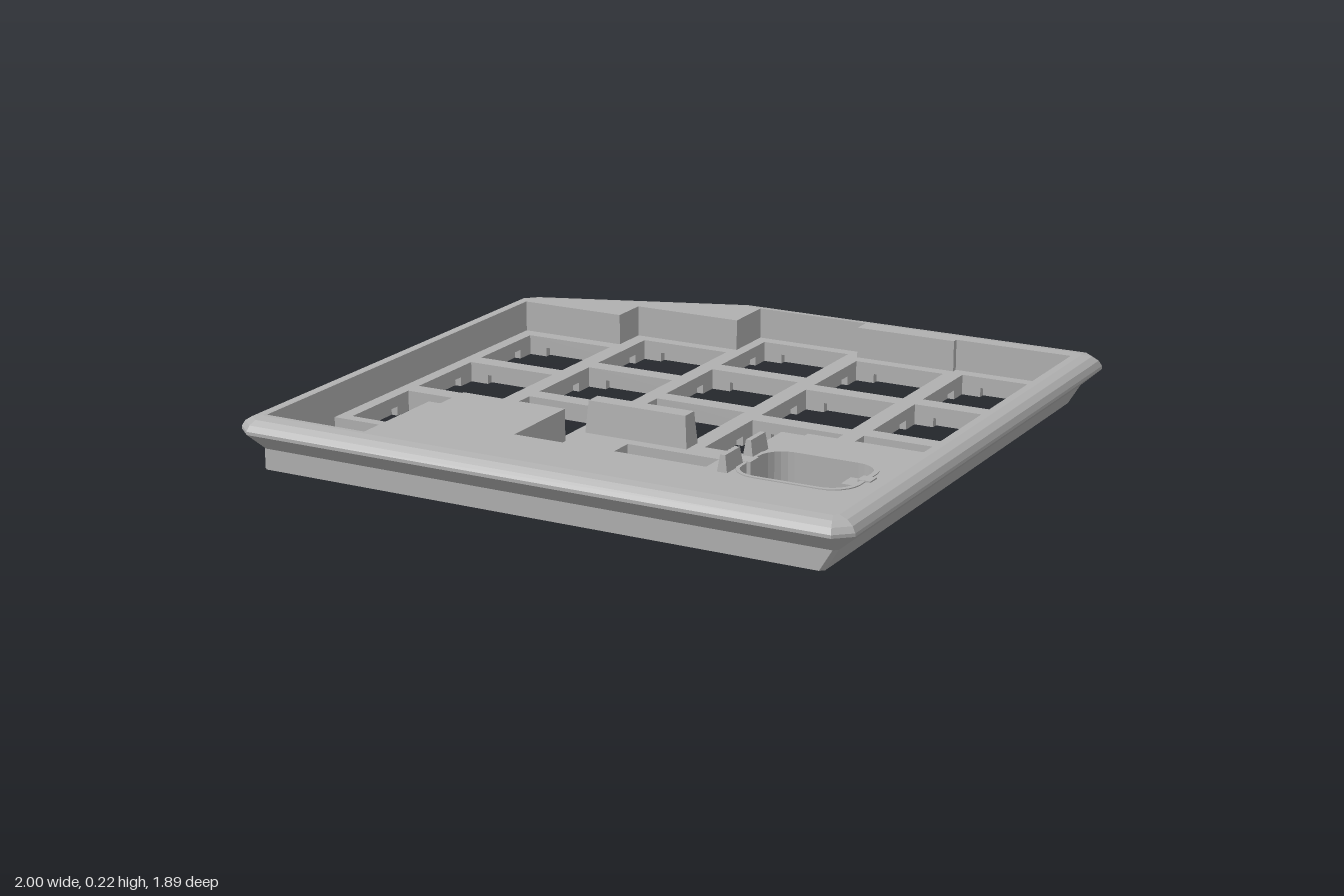
import * as THREE from 'three';

const BASE = 0.065, TOP = 0.165, INSET = 0.06;

// outer footprint as [x, z], walking so that faces point outward
const OUTLINE = [[-0.95, 0.945], [0.95, 0.945], [1, 0.9], [1, -0.9], [0.95, -0.95],
  [-0.27, -0.95], [-0.95, -0.7], [-1, -0.65], [-1, 0.9]];

// stepped recess that holds the keys
const POCKET = [[-0.93, -0.59], [-0.57, -0.59], [-0.57, -0.715], [-0.2, -0.715], [-0.2, -0.885],
  [0.185, -0.885], [0.185, -0.825], [0.525, -0.825], [0.525, -0.845], [0.915, -0.845],
  [0.915, 0.275], [0.55, 0.275], [0.55, 0.295], [0.475, 0.295], [0.475, 0.685],
  [-0.19, 0.685], [-0.19, 0.4], [-0.545, 0.4], [-0.545, 0.53], [-0.585, 0.53],
  [-0.585, 0.87], [-0.93, 0.87]];

// key columns: centre x and first centre z
const COLUMNS = [[-0.735, -0.39], [-0.37, -0.52], [-0.01, -0.69], [0.355, -0.63], [0.72, -0.65]];
const KEYS = COLUMNS.flatMap(([x, z]) => [0, 1, 2].map((i) => [x, z + i * 0.366]));
KEYS.push([0.14, 0.49]);

function inset(d) {
  const n = OUTLINE.length;
  const normal = (a, b) => {
    const x = b[0] - a[0], z = b[1] - a[1], l = Math.hypot(x, z);
    return [-z / l, x / l];
  };
  return OUTLINE.map((p, i) => {
    const u = normal(OUTLINE[(i + n - 1) % n], p), v = normal(p, OUTLINE[(i + 1) % n]);
    const k = d / (1 + u[0] * v[0] + u[1] * v[1]);
    return [p[0] - k * (u[0] + v[0]), p[1] - k * (u[1] + v[1])];
  });
}

// the right base wall leans inward toward the bottom
const lean = (x, y) => (x > 0.92 && y < BASE ? x - 0.04 * (1 - y / BASE) : x);

const toPoints = (list) => list.map(([x, z]) => new THREE.Vector2(x, -z));
const rect = (x0, x1, z0, z1) => [[x0, z0], [x1, z0], [x1, z1], [x0, z1]];

function roundedRect(x0, x1, z0, z1, r) {
  const pts = [];
  [[x1 - r, z1 - r], [x0 + r, z1 - r], [x0 + r, z0 + r], [x1 - r, z0 + r]].forEach(([cx, cz], q) => {
    for (let i = 0; i <= 6; i++) {
      const a = (q + i / 6) * Math.PI / 2;
      pts.push([cx + r * Math.cos(a), cz + r * Math.sin(a)]);
    }
  });
  return pts;
}

// square key opening with a clip notch on each side
function notched([x, z]) {
  const h = 0.153, w = 0.09, o = 0.175;
  const side = [[h, -h], [h, -w], [o, -w], [o, w], [h, w]];
  const pts = [];
  for (let q = 0; q < 4; q++) {
    const c = Math.round(Math.cos(q * Math.PI / 2)), s = Math.round(Math.sin(q * Math.PI / 2));
    side.forEach(([a, b]) => pts.push([x + a * c - b * s, z + a * s + b * c]));
  }
  return pts;
}

// horizontal slab with openings
function slab(holes, y0, y1) {
  const shape = new THREE.Shape(toPoints(inset(INSET)));
  holes.forEach((h) => shape.holes.push(new THREE.Path(toPoints(h))));
  const g = new THREE.ExtrudeGeometry(shape, { depth: y1 - y0, bevelEnabled: false });
  g.rotateX(-Math.PI / 2).translate(0, y0, 0);
  const p = g.attributes.position;
  for (let i = 0; i < p.count; i++) p.setX(i, lean(p.getX(i), p.getY(i)));
  g.computeVertexNormals();
  return g;
}

// outer skin lofted through inset copies of the footprint
function rimGeometry() {
  const rings = [[INSET, 0], [INSET, BASE], [0, 0.12], [0, 0.13], [0.01, 0.147], [0.03, 0.16], [INSET, TOP]]
    .map(([d, y]) => inset(d).map(([x, z]) => [lean(x, y), y, z]));
  const v = [];
  for (let r = 0; r < rings.length - 1; r++) {
    OUTLINE.forEach((_, i) => {
      const j = (i + 1) % OUTLINE.length;
      const a = rings[r][i], b = rings[r][j], c = rings[r + 1][j], d = rings[r + 1][i];
      v.push(...a, ...b, ...c, ...a, ...c, ...d);
    });
  }
  const g = new THREE.BufferGeometry();
  g.setAttribute('position', new THREE.Float32BufferAttribute(v, 3));
  g.computeVertexNormals();
  return g;
}

// box whose upper face is narrowed by tx and tz on each side
function taperedBox(x0, x1, y0, y1, z0, z1, tx = 0, tz = 0) {
  const g = new THREE.BoxGeometry(x1 - x0, y1 - y0, z1 - z0).toNonIndexed();
  const p = g.attributes.position;
  for (let i = 0; i < p.count; i++) {
    if (p.getY(i) > 0) {
      p.setX(i, p.getX(i) - Math.sign(p.getX(i)) * tx);
      p.setZ(i, p.getZ(i) - Math.sign(p.getZ(i)) * tz);
    }
  }
  g.translate((x0 + x1) / 2, (y0 + y1) / 2, (z0 + z1) / 2);
  g.computeVertexNormals();
  return g;
}

export function createModel() {
  const group = new THREE.Group();
  const grey = new THREE.MeshStandardMaterial({ color: 0xb0b0b0 });
  grey.name = 'case grey';
  const add = (name, geometry) => {
    const mesh = new THREE.Mesh(geometry, grey);
    mesh.name = name;
    group.add(mesh);
  };

  const squares = KEYS.map(([x, z]) => rect(x - 0.153, x + 0.153, z - 0.153, z + 0.153));
  const oval = roundedRect(0.52, 0.87, 0.45, 0.7, 0.075);
  const lowerOval = roundedRect(0.52, 0.83, 0.45, 0.7, 0.06);

  add('outerRim', rimGeometry());
  add('topDeck', slab([POCKET, oval], BASE, TOP));
  // key plate, with the corner key sunk to the lower layer
  add('keyPlate', slab([...squares, rect(-0.93, -0.585, 0.53, 0.87), oval], 0.03, BASE));
  add('bottomPlate', slab([...KEYS.map(notched), rect(-0.91, -0.605, 0.545, 0.85), lowerOval], 0, 0.03));

  // raised bar between the middle column and the thumb key
  add('dividerBar', taperedBox(-0.18, 0.165, BASE, TOP, 0.23, 0.3, 0.008, 0.008));

  // two fins and the pins beside the oval opening
  [[0.455, 0.555], [0.61, 0.71]].forEach(([z0, z1]) =>
    add('fin', taperedBox(0.48, 0.518, TOP - 0.02, 0.215, z0, z1, 0.011, 0.006)));
  add('innerPin', taperedBox(0.488, 0.532, 0.1, TOP + 0.004, 0.55, 0.6));
  add('latchBlock', taperedBox(0.815, 0.89, 0.09, TOP - 0.012, 0.542, 0.605));
  add('latchPin', taperedBox(0.86, 0.9, 0.1, TOP + 0.004, 0.555, 0.595));

  // thin raised lip around the oval opening
  const lip = new THREE.Shape(toPoints(roundedRect(0.51, 0.885, 0.438, 0.712, 0.085)));
  lip.holes.push(new THREE.Path(toPoints(oval)));
  const lipGeometry = new THREE.ExtrudeGeometry(lip, { depth: 0.003, bevelEnabled: false });
  add('openingLip', lipGeometry.rotateX(-Math.PI / 2).translate(0, TOP, 0));

  return group;
}
